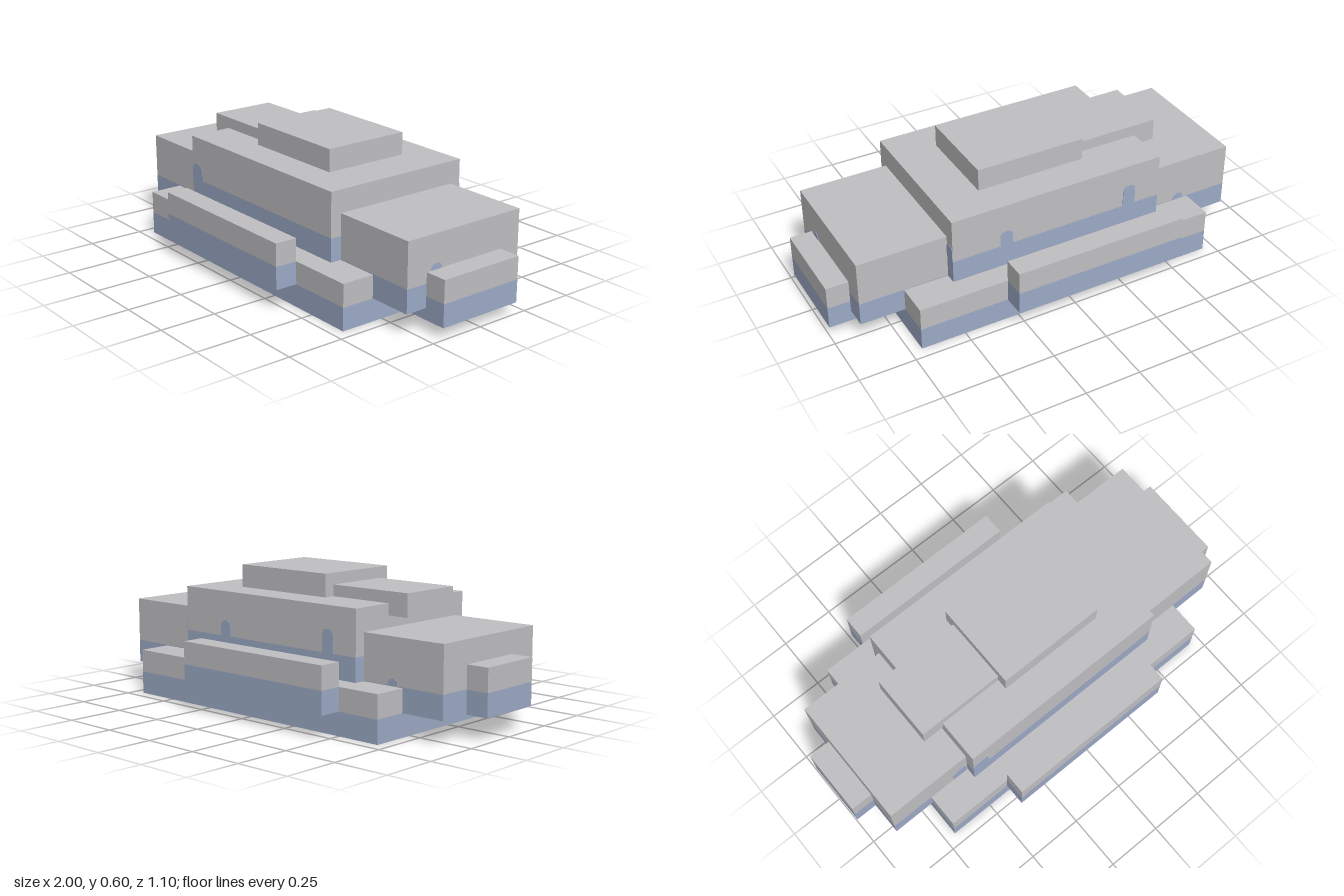
import * as THREE from 'three';

const grey = new THREE.MeshStandardMaterial({ color: 0xc0c0c3 });
grey.name = 'light grey';
const blue = new THREE.MeshStandardMaterial({ color: 0x9dabc7 });
blue.name = 'dusty blue';

// Box given by its limits on each axis
function block(name, [x0, x1], [y0, y1], [z0, z1], material) {
  const geometry = new THREE.BoxGeometry(x1 - x0, y1 - y0, z1 - z0);
  const mesh = new THREE.Mesh(geometry, material);
  mesh.position.set((x0 + x1) / 2, (y0 + y1) / 2, (z0 + z1) / 2);
  mesh.name = name;
  return mesh;
}

// Block painted blue up to the height "split" and grey above it
function twoTone(name, x, [y0, y1], z, split) {
  const group = new THREE.Group();
  group.name = name;
  group.add(block(name + 'Lower', x, [y0, split], z, blue));
  group.add(block(name + 'Upper', x, [split, y1], z, grey));
  return group;
}

// Thin round-topped blue patch rising from a paint line
function patch(name, width, height, position, turn) {
  const w = width / 2;
  const r = Math.min(w, height);
  const shape = new THREE.Shape();
  shape.moveTo(-w, 0);
  shape.lineTo(w, 0);
  shape.lineTo(w, height - r);
  shape.quadraticCurveTo(w, height, 0, height);
  shape.quadraticCurveTo(-w, height, -w, height - r);
  const geometry = new THREE.ExtrudeGeometry(shape, { depth: 0.002, bevelEnabled: false, curveSegments: 6 });
  const mesh = new THREE.Mesh(geometry, blue);
  mesh.position.set(...position);
  mesh.rotation.y = turn;
  mesh.name = name;
  return mesh;
}

export function createModel() {
  const model = new THREE.Group();
  model.name = 'steppedRock';

  // Stacked main layers
  model.add(
    twoTone('baseSlab', [-0.7, 0.7], [0, 0.2], [-0.45, 0.45], 0.1),
    twoTone('middleSlab', [-0.9, 0.9], [0.1, 0.4], [-0.3, 0.3], 0.203),
    twoTone('upperSlab', [-0.5, 0.5], [0.2, 0.5], [-0.35, 0.35], 0.303),
  );

  // Top caps
  model.add(
    block('topCap', [-0.2, 0.3], [0.5, 0.6], [-0.2, 0.2], grey),
    block('sideCap', [-0.6, -0.2], [0.45, 0.55], [-0.15, 0.15], grey),
  );

  // Ledges on the four sides
  model.add(
    twoTone('frontLedge', [-0.4, 0.4], [0.1, 0.3], [0.45, 0.55], 0.2),
    twoTone('backLedge', [-0.5, 0.3], [0.1, 0.3], [-0.55, -0.45], 0.2),
    twoTone('leftLedge', [0.8, 1], [0.05, 0.25], [-0.2, 0.2], 0.15),
    twoTone('rightLedge', [-1, -0.9], [0.1, 0.3], [-0.15, 0.15], 0.2),
  );

  // Small blue blotches above the paint lines
  model.add(
    patch('frontUpperPatch', 0.08, 0.075, [-0.46, 0.302, 0.35], 0),
    patch('frontMiddlePatch', 0.07, 0.075, [-0.54, 0.202, 0.3], 0),
    patch('leftMiddlePatch', 0.055, 0.075, [0.9, 0.202, 0.15], Math.PI / 2),
    patch('leftUpperPatch', 0.05, 0.07, [0.5, 0.302, -0.325], Math.PI / 2),
    patch('backUpperPatchA', 0.06, 0.07, [0.25, 0.302, -0.35], Math.PI),
    patch('backUpperPatchB', 0.06, 0.1, [-0.35, 0.302, -0.35], Math.PI),
    patch('backMiddlePatch', 0.05, 0.03, [-0.65, 0.202, -0.3], Math.PI),
  );
  return model;
}
